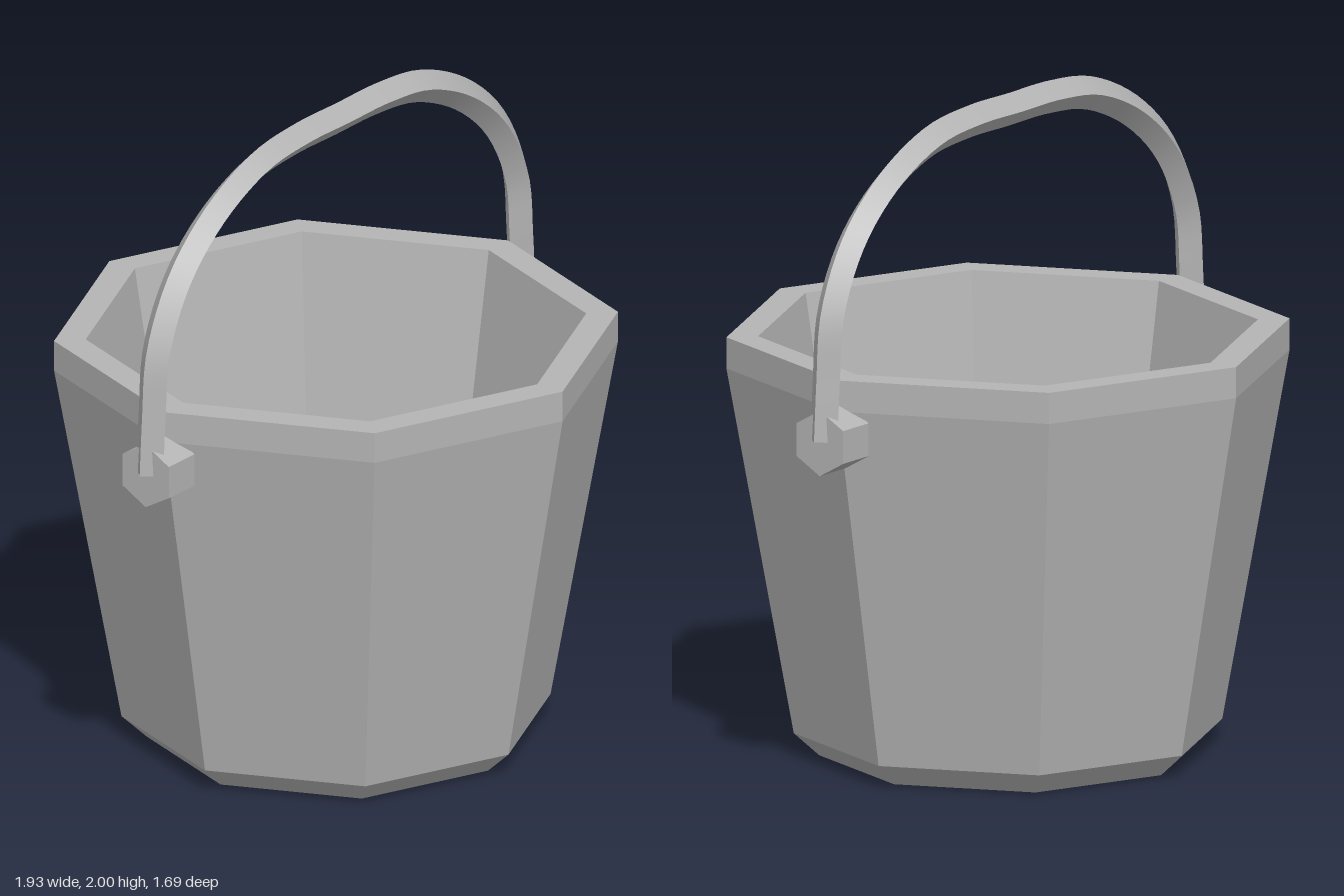
import * as THREE from 'three';
import { toCreasedNormals } from 'three/addons/utils/BufferGeometryUtils.js';

export function createModel() {
  const model = new THREE.Group();
  model.name = 'bucket';
  const grey = new THREE.MeshStandardMaterial({ color: 0xb4b4b4 });
  grey.name = 'plain grey';

  const add = (name, geometry, crease = 0.1) => {
    const mesh = new THREE.Mesh(toCreasedNormals(geometry, crease), grey);
    mesh.name = name;
    model.add(mesh);
    return mesh;
  };

  // Octagonal body: bevelled foot, sloping wall, upright rim, hollow inside
  const profile = [
    [0, 0], [0.567, 0], [0.643, 0.07], [0.845, 1.19], [0.845, 1.285],
    [0.75, 1.285], [0.55, 0.15], [0, 0.15],
  ].map(([r, y]) => new THREE.Vector2(r, y));
  add('body', new THREE.LatheGeometry(profile, 8));

  // Arched handle with a diamond section
  const half = [[0.914, 1.115], [0.902, 1.3], [0.882, 1.49], [0.785, 1.68],
    [0.62, 1.827], [0.4, 1.926], [0.2, 1.951]];
  const points = [
    ...half.map(([x, y]) => new THREE.Vector3(-x, y, 0)),
    new THREE.Vector3(0, 1.951, 0),
    ...half.slice().reverse().map(([x, y]) => new THREE.Vector3(x, y, 0)),
  ];
  const arch = new THREE.CatmullRomCurve3(points);
  add('handle', new THREE.TubeGeometry(arch, 64, 0.05, 4), 0.6);

  for (const side of [-1, 1]) {
    const label = side > 0 ? 'left' : 'right';

    // Cap closing the handle end
    const t = side > 0 ? 1 : 0;
    const cap = add(label + 'HandleEnd', new THREE.CircleGeometry(0.05, 4));
    cap.position.copy(arch.getPointAt(t));
    cap.lookAt(cap.position.clone().addScaledVector(arch.getTangentAt(t), side));

    // Hexagonal lug holding the handle
    const lug = new THREE.CylinderGeometry(0.1, 0.1, 0.127, 6);
    lug.rotateY(Math.PI / 2).rotateZ(Math.PI / 2);
    add(label + 'Lug', lug).position.set(side * 0.8715, 1.11, 0);
  }
  return model;
}
